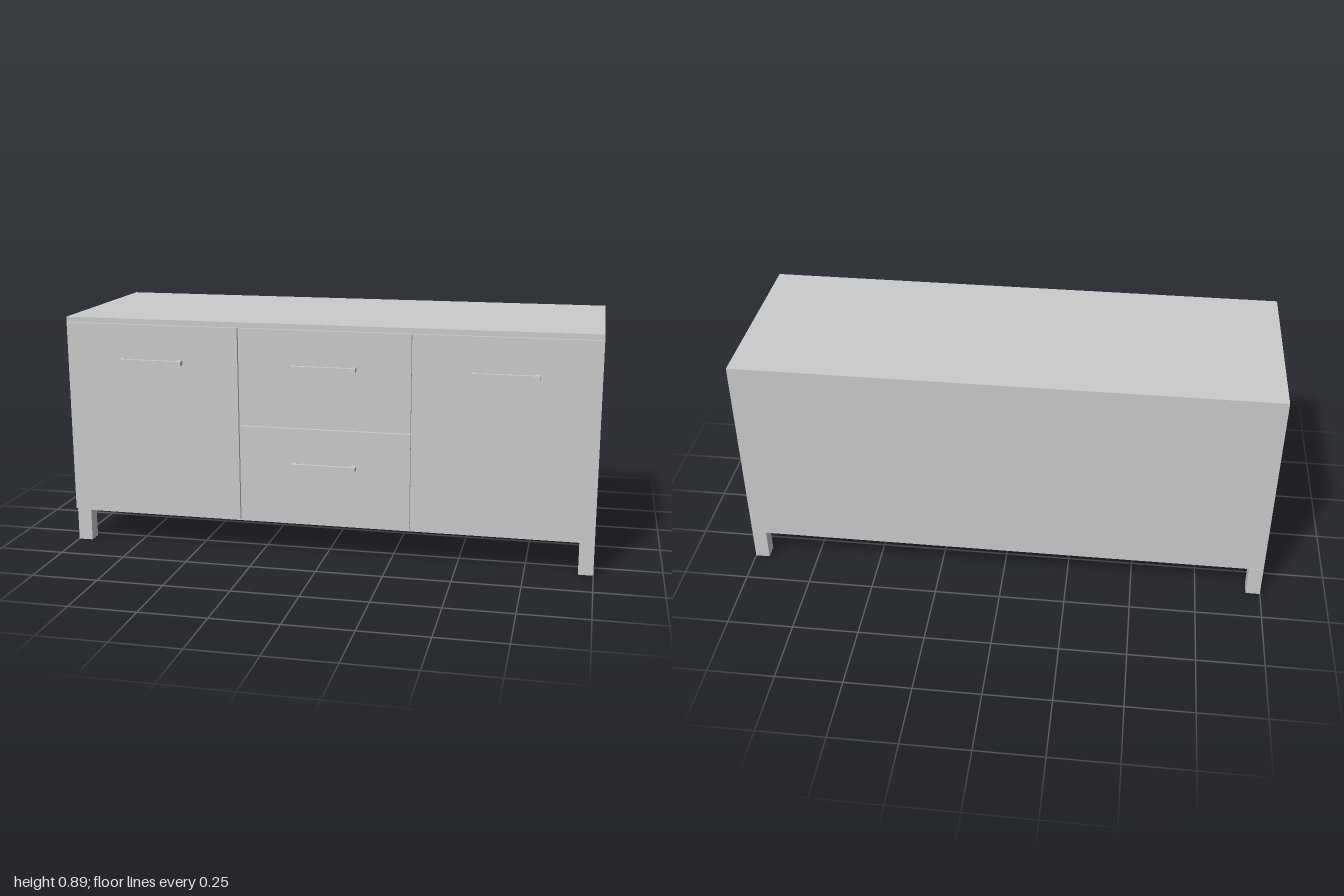
import * as THREE from 'three';

const material = new THREE.MeshStandardMaterial({ color: 0xcccccc });

// Box given by its extents along each axis
function block(name, [x0, x1], [y0, y1], [z0, z1]) {
  const mesh = new THREE.Mesh(new THREE.BoxGeometry(x1 - x0, y1 - y0, z1 - z0), material);
  mesh.position.set((x0 + x1) / 2, (y0 + y1) / 2, (z0 + z1) / 2);
  mesh.name = name;
  return mesh;
}

// Bar handle: two short posts and a front grip
function handle(x, y) {
  const group = new THREE.Group();
  group.name = 'handle';
  const half = 0.121, ys = [y - 0.0085, y + 0.0085];
  group.add(block('handleGrip', [x - half, x + half], ys, [0.361, 0.374]));
  for (const s of [-1, 1]) {
    const cx = x + s * (half - 0.009);
    group.add(block('handlePost', [cx - 0.009, cx + 0.009], ys, [0.346, 0.361]));
  }
  return group;
}

export function createModel() {
  const model = new THREE.Group();
  model.name = 'sideboard';

  const back = -0.372, bodyFront = 0.334, doorFront = 0.347;

  // Carcass, base plate and worktop
  model.add(block('carcass', [-1, 1], [0.128, 0.87], [back, bodyFront]));
  model.add(block('basePlate', [-0.998, 0.998], [0.122, 0.128], [back + 0.002, bodyFront - 0.001]));
  model.add(block('worktop', [-1, 1], [0.87, 0.89], [back, doorFront]));

  // Door and drawer fronts with narrow gaps between them
  const fz = [bodyFront, doorFront];
  const bottom = 0.13, top = 0.868, seam = 0.326, gap = 0.003;
  for (const s of [-1, 1]) {
    const xs = s < 0 ? [-1, -seam - gap] : [seam + gap, 1];
    model.add(block(s < 0 ? 'rightDoor' : 'leftDoor', xs, [bottom, top], fz));
    model.add(handle(s * 0.664, 0.73));
  }
  const drawerX = [-seam + gap, seam - gap];
  model.add(block('lowerDrawer', drawerX, [bottom, 0.5 - gap], fz));
  model.add(block('upperDrawer', drawerX, [0.5 + gap, top], fz));
  model.add(handle(0, 0.73));
  model.add(handle(0, 0.358));

  // Square legs with thin foot pads
  for (const sx of [-1, 1]) {
    const xs = sx < 0 ? [-1, -0.945] : [0.945, 1];
    for (const zs of [[back, -0.318], [0.281, bodyFront]]) {
      model.add(block('leg', xs, [0.008, 0.123], zs));
      model.add(block('footPad', xs, [0, 0.008], zs));
    }
  }
  return model;
}
